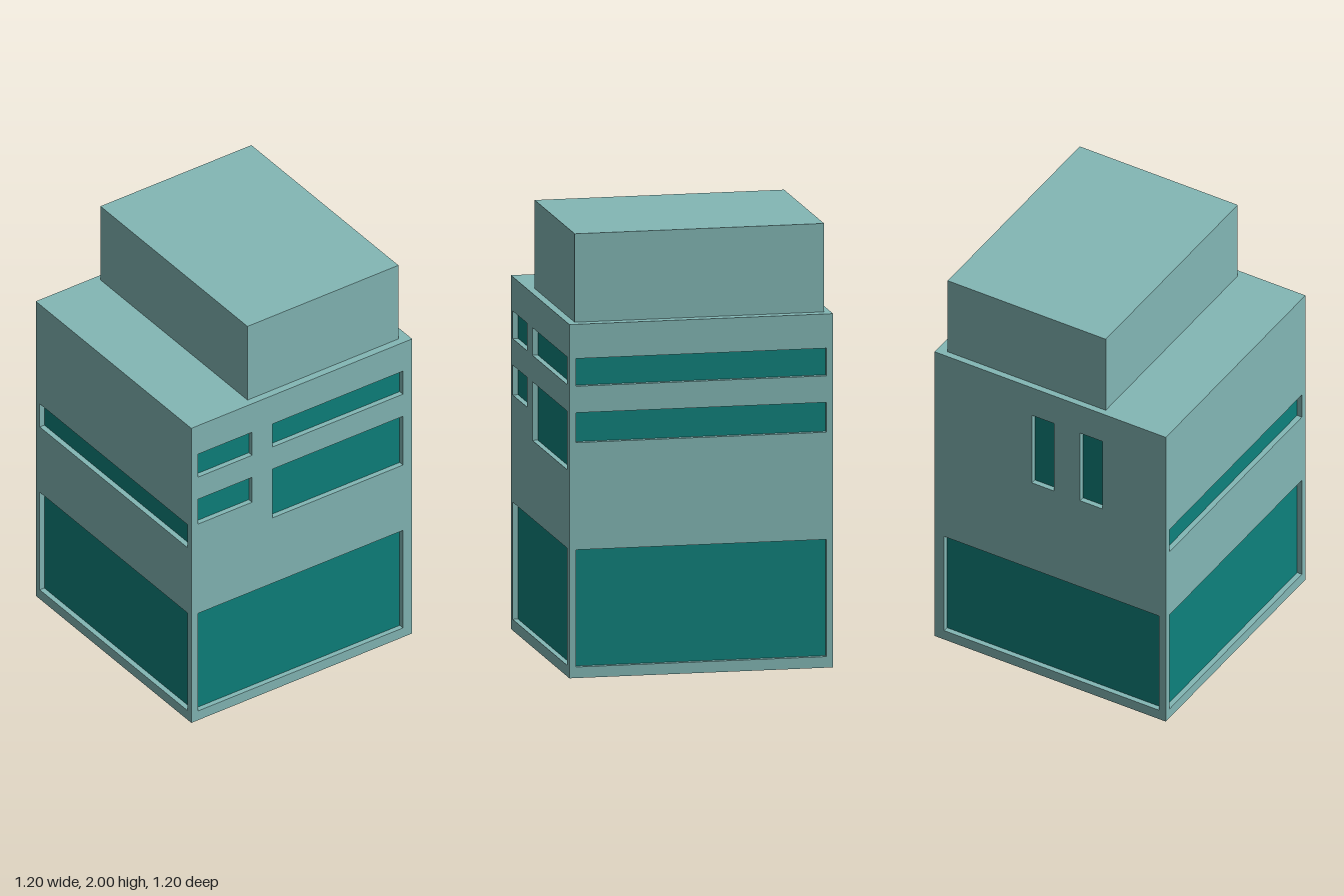
import * as THREE from 'three';

const wallPaint = new THREE.MeshStandardMaterial({ color: 0x83b7b5, side: THREE.DoubleSide });
wallPaint.name = 'pale teal wall';
const glass = new THREE.MeshStandardMaterial({ color: 0x0d817c, side: THREE.DoubleSide });
glass.name = 'deep teal glass';

const HALF = 0.6, HEIGHT = 1.6, TOP = 2, DEPTH = 0.025;

function add(parent, name, geometry, material) {
  const mesh = new THREE.Mesh(geometry, material);
  mesh.name = name;
  parent.add(mesh);
  return mesh;
}

// Rectangular outline from corner to corner
function rectPoints(x0, x1, y0, y1) {
  return [[x0, y0], [x1, y0], [x1, y1], [x0, y1]].map(([x, y]) => new THREE.Vector2(x, y));
}

// Flat sheet with rectangular openings
function sheet(outline, openings) {
  const shape = new THREE.Shape(rectPoints(...outline));
  for (const o of openings) shape.holes.push(new THREE.Path(rectPoints(...o).reverse()));
  return new THREE.ShapeGeometry(shape);
}

// One outer wall: sheet, recessed panes and the reveals around them
function buildWall(name, angle, openings) {
  const wall = new THREE.Group();
  wall.name = name;
  add(wall, name + 'Sheet', sheet([-HALF, HALF, 0, HEIGHT], openings), wallPaint).position.z = HALF;

  for (const [x0, x1, y0, y1] of openings) {
    const w = x1 - x0, h = y1 - y0, cx = (x0 + x1) / 2, cy = (y0 + y1) / 2;
    const z = HALF - DEPTH / 2;
    add(wall, 'windowPane', new THREE.PlaneGeometry(w, h), glass).position.set(cx, cy, HALF - DEPTH);

    // reveals face into the opening
    for (const s of [-1, 1]) {
      const side = new THREE.PlaneGeometry(DEPTH, h).rotateY(-s * Math.PI / 2);
      add(wall, 'windowJamb', side, wallPaint).position.set(cx + s * w / 2, cy, z);
      const ledge = new THREE.PlaneGeometry(w, DEPTH).rotateX(s * Math.PI / 2);
      add(wall, s < 0 ? 'windowSill' : 'windowHead', ledge, wallPaint).position.set(cx, cy + s * h / 2, z);
    }
  }
  wall.rotation.y = angle;
  return wall;
}

export function createModel() {
  const model = new THREE.Group();
  model.name = 'building';

  // Openings as [x0, x1, y0, y1], seen from outside each wall
  model.add(buildWall('frontWall', 0, [
    [-0.565, 0.55, 0.05, 0.58],
    [-0.565, -0.27, 1.065, 1.2],
    [-0.565, -0.27, 1.32, 1.445],
    [-0.16, 0.55, 0.935, 1.2],
    [-0.16, 0.55, 1.32, 1.445],
  ]));
  model.add(buildWall('leftWall', Math.PI / 2, [
    [-0.57, 0.57, 0.05, 0.58],
    [-0.57, 0.57, 1.065, 1.2],
    [-0.57, 0.57, 1.32, 1.445],
  ]));
  model.add(buildWall('backWall', Math.PI, [
    [-0.55, 0.565, 0.05, 0.58],
    [-0.095, 0.02, 1.065, 1.445],
    [0.155, 0.27, 1.065, 1.445],
  ]));
  model.add(buildWall('rightWall', -Math.PI / 2, [
    [-0.57, 0.57, 0.05, 0.58],
    [-0.57, 0.57, 0.935, 1.06],
  ]));

  // Roof terrace around the upper storey
  const [x0, x1, z0, z1] = [-0.27, 0.55, -0.57, 0.565];
  const roof = sheet([-HALF, HALF, -HALF, HALF], [[x0, x1, -z1, -z0]]).rotateX(-Math.PI / 2);
  add(model, 'roofTerrace', roof, wallPaint).position.y = HEIGHT;

  // Upper storey, open underneath (the box's floor face is dropped)
  const block = new THREE.BoxGeometry(x1 - x0, TOP - HEIGHT, z1 - z0);
  block.setIndex(Array.from(block.index.array).filter((_, i) => i < 18 || i >= 24));
  block.clearGroups();
  add(model, 'upperStorey', block, wallPaint)
    .position.set((x0 + x1) / 2, (HEIGHT + TOP) / 2, (z0 + z1) / 2);

  return model;
}
